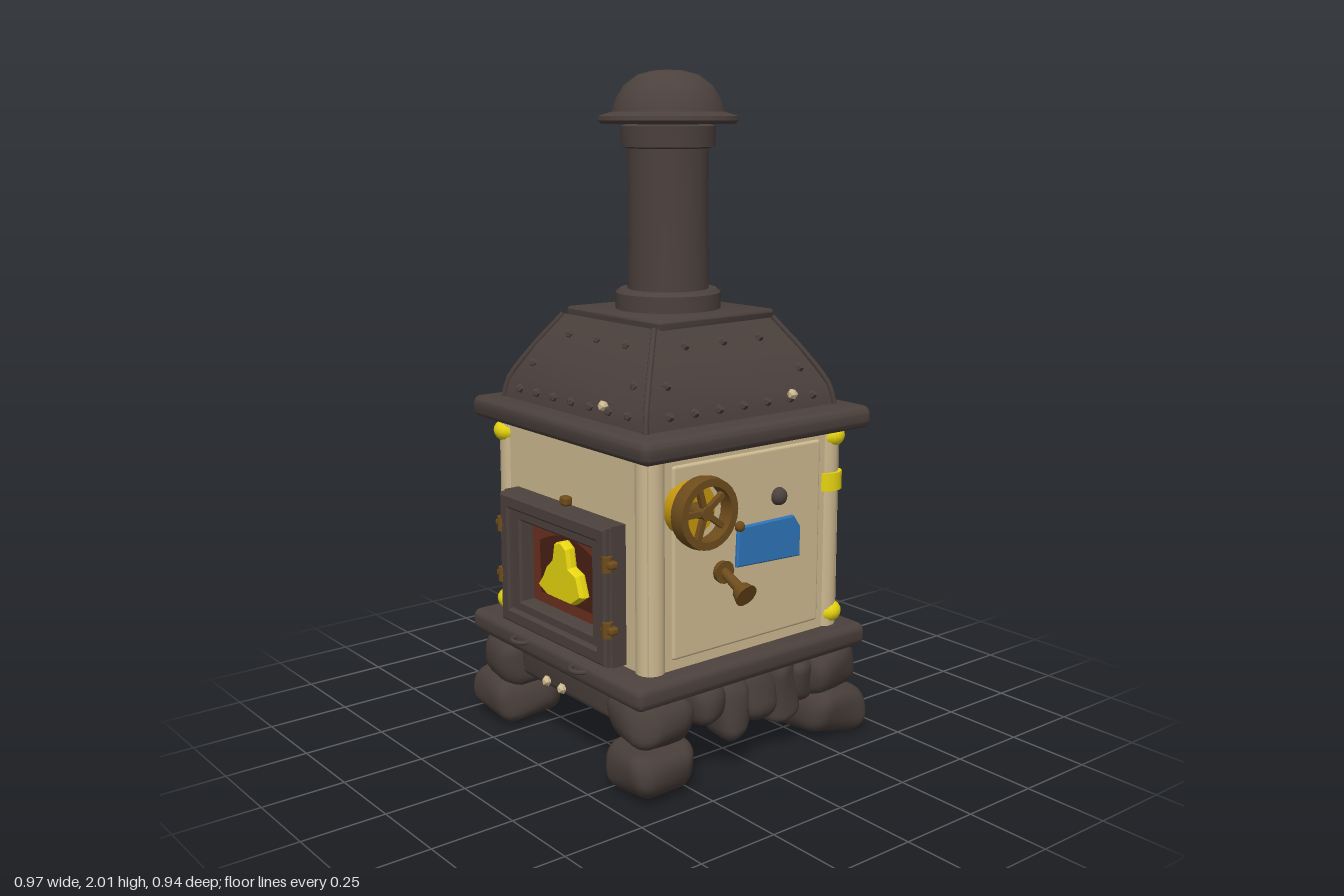
import * as THREE from 'three';
import { mergeVertices, toCreasedNormals } from 'three/addons/utils/BufferGeometryUtils.js';
import { RoundedBoxGeometry } from 'three/addons/geometries/RoundedBoxGeometry.js';

const mat = (name, color, side = THREE.FrontSide) => {
  const m = new THREE.MeshStandardMaterial({ color, side });
  m.name = name;
  return m;
};

export function createModel() {
  const iron = mat('dark iron', 0x4c413d);
  const stone = mat('dark stone', 0x483e3a);
  const cream = mat('cream enamel', 0xcdb990);
  const yellow = mat('yellow brass', 0xe6d410);
  const gold = mat('old gold', 0xc4950f);
  const brown = mat('brown bronze', 0x6e4c1c);
  const blue = mat('blue plate', 0x2e74b8);
  const red = mat('fire brick', 0x6b2f1f);
  const ember = mat('ember shadow', 0x4a1f14);

  const model = new THREE.Group();
  model.name = 'stove';
  model.position.x = -0.02;
  const root = new THREE.Group();
  root.add(model);

  const add = (name, geo, material, x = 0, y = 0, z = 0, rx = 0, ry = 0, rz = 0) => {
    const m = new THREE.Mesh(geo, material);
    m.name = name;
    m.position.set(x, y, z);
    m.rotation.set(rx, ry, rz);
    model.add(m);
    return m;
  };

  // Hand-made wobble: a smooth wave displaces the points, then normals are rebuilt
  const wobble = (geo, amp, freq, seed, crease = 0.7) => {
    geo.deleteAttribute('normal');
    geo.deleteAttribute('uv');
    geo.clearGroups();
    const g = mergeVertices(geo, 1e-4);
    const p = g.attributes.position;
    for (let i = 0; i < p.count; i++) {
      const x = p.getX(i), y = p.getY(i), z = p.getZ(i);
      p.setXYZ(i,
        x + amp * Math.sin(freq * (y + 0.7 * z) + seed),
        y + amp * Math.sin(freq * (z + 0.8 * x) + seed * 2.3),
        z + amp * Math.sin(freq * (x + 0.6 * y) + seed * 1.7));
    }
    return toCreasedNormals(g, crease);
  };
  const box = (w, h, d, r) => new RoundedBoxGeometry(w, h, d, 3, r);
  const rock = (name, w, h, d, x, y, z, seed, ry = 0) =>
    add(name, wobble(box(w, h, d, Math.min(w, h, d) * 0.42), 0.011, 22, seed, 1.1), stone, x, y, z, 0, ry, 0);

  // Corner feet of two stacked stones, with a small chock at the inside
  let seed = 1;
  for (const sx of [-1, 1]) for (const sz of [-1, 1]) {
    rock('footStone', 0.22, 0.14, 0.23, sx * 0.345, 0.075, sz * 0.335, seed++);
    rock('footUpperStone', 0.21, 0.16, 0.21, sx * 0.33, 0.205, sz * 0.325, seed++);
  }

  // Stones hanging below the sides and the back, plain apron at the front
  const sideStones = [[0.16, 0.14, 0.13], [0.06, 0.19, 0.12], [-0.04, 0.16, 0.13], [-0.13, 0.2, 0.11], [-0.21, 0.14, 0.1]];
  for (const sx of [-1, 1]) for (const [z, h, w] of sideStones)
    rock('sideStone', 0.15, h, w, sx * 0.34, 0.275 - h / 2, z, seed++, 0.2);
  for (const [x, h, w] of [[-0.18, 0.11, 0.13], [-0.08, 0.21, 0.15], [0.05, 0.11, 0.14], [0.17, 0.11, 0.13]])
    rock('backStone', w, h, 0.15, x, 0.28 - h / 2, -0.33, seed++);
  add('frontApron', wobble(box(0.5, 0.12, 0.1, 0.02), 0.005, 20, 3), stone, 0, 0.23, 0.33);

  // Base slab, cabinet and top slab
  add('baseSlab', wobble(box(0.88, 0.072, 0.88, 0.025), 0.005, 9, 2), iron, 0, 0.309, 0);
  add('topSlab', wobble(box(0.885, 0.068, 0.86, 0.025), 0.006, 9, 5), iron, 0, 0.996, 0);
  add('cabinet', new THREE.BoxGeometry(0.745, 0.64, 0.725), cream, 0, 0.65, 0);
  for (const sx of [-1, 1]) for (const sz of [-1, 1])
    add('cornerPost', new THREE.CylinderGeometry(0.042, 0.042, 0.62, 14), cream, sx * 0.342, 0.65, sz * 0.332);
  for (const sx of [-1, 1])
    add('sidePanel', box(0.02, 0.56, 0.56, 0.009), cream, sx * 0.37, 0.65, 0);
  add('backPanel', box(0.56, 0.56, 0.02, 0.009), cream, 0, 0.65, -0.362);

  // Yellow clamps on the corner posts
  const clamps = [[1, -1, [0.93, 0.795, 0.38]], [-1, -1, [0.93, 0.795, 0.38]], [-1, 1, [0.92, 0.38]]];
  for (const [sx, sz, ys] of clamps) for (const y of ys) {
    if (y === 0.795) add('cornerClamp', new THREE.CylinderGeometry(0.053, 0.053, 0.055, 14), yellow, sx * 0.342, y, sz * 0.334);
    else add('cornerKnob', new THREE.SphereGeometry(0.045, 14, 10), yellow, sx * 0.352, y, sz * 0.345).scale.y = 0.8;
  }

  // Hood: a four-sided bell, with its cap plate
  const r2 = Math.SQRT2;
  const hoodProfile = [[0.355, 1.025], [0.345, 1.08], [0.285, 1.19], [0.245, 1.25], [0.222, 1.285]];
  const hood = new THREE.LatheGeometry(hoodProfile.map(([r, y]) => new THREE.Vector2(r * r2, y)), 4);
  hood.rotateY(Math.PI / 4);
  add('hood', toCreasedNormals(hood, 0.6), iron);
  add('hoodCap', wobble(box(0.455, 0.034, 0.44, 0.012), 0.003, 14, 1), iron, 0, 1.288, -0.008);
  for (const sx of [-1, 1]) for (const sz of [-1, 1]) {
    const pts = hoodProfile.map(([r, y]) => new THREE.Vector3(sx * r, y, sz * r));
    add('hoodSeam', new THREE.TubeGeometry(new THREE.CatmullRomCurve3(pts), 10, 0.009, 6), iron);
  }

  // Chimney: collar, pipe, ring and domed hat in one profile each
  const lathe = (name, pts, z = -0.005) =>
    add(name, toCreasedNormals(new THREE.LatheGeometry(pts.map(([r, y]) => new THREE.Vector2(r, y)), 36), 0.6), iron, 0, 0, z);
  lathe('pipeCollar', [[0.157, 1.295], [0.157, 1.355], [0.145, 1.366], [0.118, 1.366]]);
  lathe('chimneyPipe', [[0.122, 1.3], [0.117, 1.6], [0.12, 1.86]]);
  lathe('pipeRing', [[0.118, 1.775], [0.138, 1.78], [0.14, 1.84], [0.118, 1.845]]);
  lathe('chimneyHat', [[0, 1.845], [0.195, 1.845], [0.207, 1.855], [0.205, 1.868], [0.165, 1.88],
    [0.155, 1.915], [0.13, 1.955], [0.09, 1.985], [0.045, 1.997], [0, 2]]);

  // Rivets around the hood foot and up its faces, with a few pale chips
  const rivet = new THREE.DodecahedronGeometry(0.014);
  for (let k = 0; k < 4; k++) {
    const ring = (u, y, r) => {
      const a = k * Math.PI / 2;
      add('rivet', rivet, iron, u * Math.cos(a) + r * Math.sin(a), y, r * Math.cos(a) - u * Math.sin(a));
    };
    for (let i = -3; i <= 3; i++) ring(i * 0.09, 1.062, 0.35);
    for (let i = -1; i <= 1; i++) ring(i * 0.14, 1.235, 0.257);
    for (const s of [-1, 1]) ring(s * 0.25, 1.14, 0.313);
  }
  for (const [x, y, z] of [[-0.15, 1.07, -0.36], [0.2, 1.07, -0.36], [0.36, 1.075, -0.18], [0.16, 1.075, 0.355],
    [-0.1, 0.19, 0.385], [-0.02, 0.19, 0.385], [-0.385, 0.79, 0.1]])
    add('paleChip', new THREE.IcosahedronGeometry(0.017), cream, x, y, z);

  // Rings on the front and back edges of the base slab
  for (const x of [-0.155, 0.15]) for (const sz of [-1, 1])
    add('tieRing', new THREE.TorusGeometry(0.032, 0.007, 6, 14), iron, x, 0.317, sz * 0.434, Math.PI / 2);

  // Fire door: frame with a hole, brick lining and flame
  const rect = (T, x0, y0, x1, y1) => {
    const s = new T();
    s.moveTo(x0, y0); s.lineTo(x1, y0); s.lineTo(x1, y1); s.lineTo(x0, y1); s.closePath();
    return s;
  };
  const frame = (name, outer, inner, depth, material, z) => {
    const s = rect(THREE.Shape, ...outer);
    s.holes.push(rect(THREE.Path, ...inner));
    add(name, new THREE.ExtrudeGeometry(s, { depth, bevelEnabled: true, bevelSize: 0.007, bevelThickness: 0.007, bevelSegments: 1 }), material, 0, 0, z);
  };
  frame('doorFrame', [-0.265, 0.355, 0.265, 0.752], [-0.19, 0.42, 0.19, 0.685], 0.05, iron, 0.362);
  frame('doorRim', [-0.262, 0.36, 0.262, 0.748], [-0.232, 0.39, 0.232, 0.718], 0.012, iron, 0.416);
  add('fireBrick', new THREE.BoxGeometry(0.39, 0.28, 0.008), red, 0, 0.552, 0.367);
  const arch = new THREE.Shape();
  arch.moveTo(-0.14, 0.46); arch.lineTo(0.14, 0.46); arch.lineTo(0.145, 0.62);
  arch.quadraticCurveTo(0, 0.7, -0.145, 0.62);
  add('fireMouth', new THREE.ShapeGeometry(arch), ember, 0, 0, 0.3725);
  const flame = new THREE.Shape([[-0.105, 0.5], [-0.06, 0.48], [0.06, 0.48], [0.105, 0.51], [0.085, 0.565], [0.045, 0.58],
    [0.035, 0.635], [0.01, 0.65], [-0.02, 0.64], [-0.03, 0.59], [-0.06, 0.565], [-0.08, 0.53]].map(p => new THREE.Vector2(...p)));
  add('flame', new THREE.ExtrudeGeometry(flame, { depth: 0.015, bevelSize: 0.006, bevelThickness: 0.012, bevelSegments: 1 }), yellow, 0, 0, 0.378);

  // Door hinges and latch
  for (const [x, y] of [[-0.268, 0.655], [-0.268, 0.495], [0.268, 0.655], [0.268, 0.465]]) {
    add('hingePin', new THREE.CylinderGeometry(0.016, 0.016, 0.045, 10), brown, x, y, 0.425);
    add('hingeStrap', box(0.06, 0.022, 0.03, 0.008), brown, x, y, 0.42);
  }
  add('doorLatch', box(0.035, 0.03, 0.03, 0.01), brown, 0, 0.772, 0.375);

  // Valve wheel on the left side
  const wheel = new THREE.Group();
  wheel.name = 'valveWheel';
  wheel.position.set(0.455, 0.808, 0.23);
  wheel.rotation.y = Math.PI / 2;
  model.add(wheel);
  const part = (name, geo, material, z = 0, rx = 0, rz = 0) => {
    const m = new THREE.Mesh(geo, material);
    m.name = name;
    m.position.z = z;
    m.rotation.set(rx, 0, rz);
    wheel.add(m);
  };
  const rimProfile = [[0.078, -0.024], [0.1, -0.024], [0.104, 0], [0.1, 0.024], [0.078, 0.024], [0.078, -0.024]];
  part('wheelRim', toCreasedNormals(new THREE.LatheGeometry(rimProfile.map(p => new THREE.Vector2(...p)), 28), 0.6), brown, 0, Math.PI / 2);
  for (let i = 0; i < 5; i++)
    part('wheelSpoke', new THREE.BoxGeometry(0.016, 0.085, 0.016).translate(0, 0.042, 0), brown, 0, 0, i * Math.PI * 0.4 + 0.3);
  part('wheelHub', new THREE.CylinderGeometry(0.02, 0.024, 0.09, 12), brown, -0.03, Math.PI / 2);
  part('wheelBacking', new THREE.CylinderGeometry(0.075, 0.078, 0.04, 24), gold, -0.063, Math.PI / 2);

  // Lever, blue plate and small knobs on the same side
  add('leverMount', new THREE.CylinderGeometry(0.03, 0.034, 0.025, 12), brown, 0.385, 0.6, 0.105, 0, 0, Math.PI / 2);
  add('leverArm', new THREE.CylinderGeometry(0.014, 0.017, 0.1, 10), brown, 0.425, 0.585, 0.105, 0, 0, 1.1);
  add('leverGrip', new THREE.CylinderGeometry(0.036, 0.026, 0.03, 12), brown, 0.475, 0.56, 0.105, 0, 0, -2.0);
  const plate = new THREE.Shape([[-0.05, 0.605], [0.19, 0.595], [0.19, 0.68], [0.165, 0.715], [-0.045, 0.715]].map(p => new THREE.Vector2(...p)));
  add('bluePlate', new THREE.ExtrudeGeometry(plate, { depth: 0.012, bevelSize: 0.004, bevelThickness: 0.004, bevelSegments: 1 }),
    blue, 0.375, 0, 0, 0, Math.PI / 2);
  add('plateScrew', new THREE.SphereGeometry(0.016, 10, 8), brown, 0.384, 0.72, 0.04);
  add('sideKnob', new THREE.SphereGeometry(0.027, 12, 8), iron, 0.382, 0.785, -0.11);

  return root;
}
